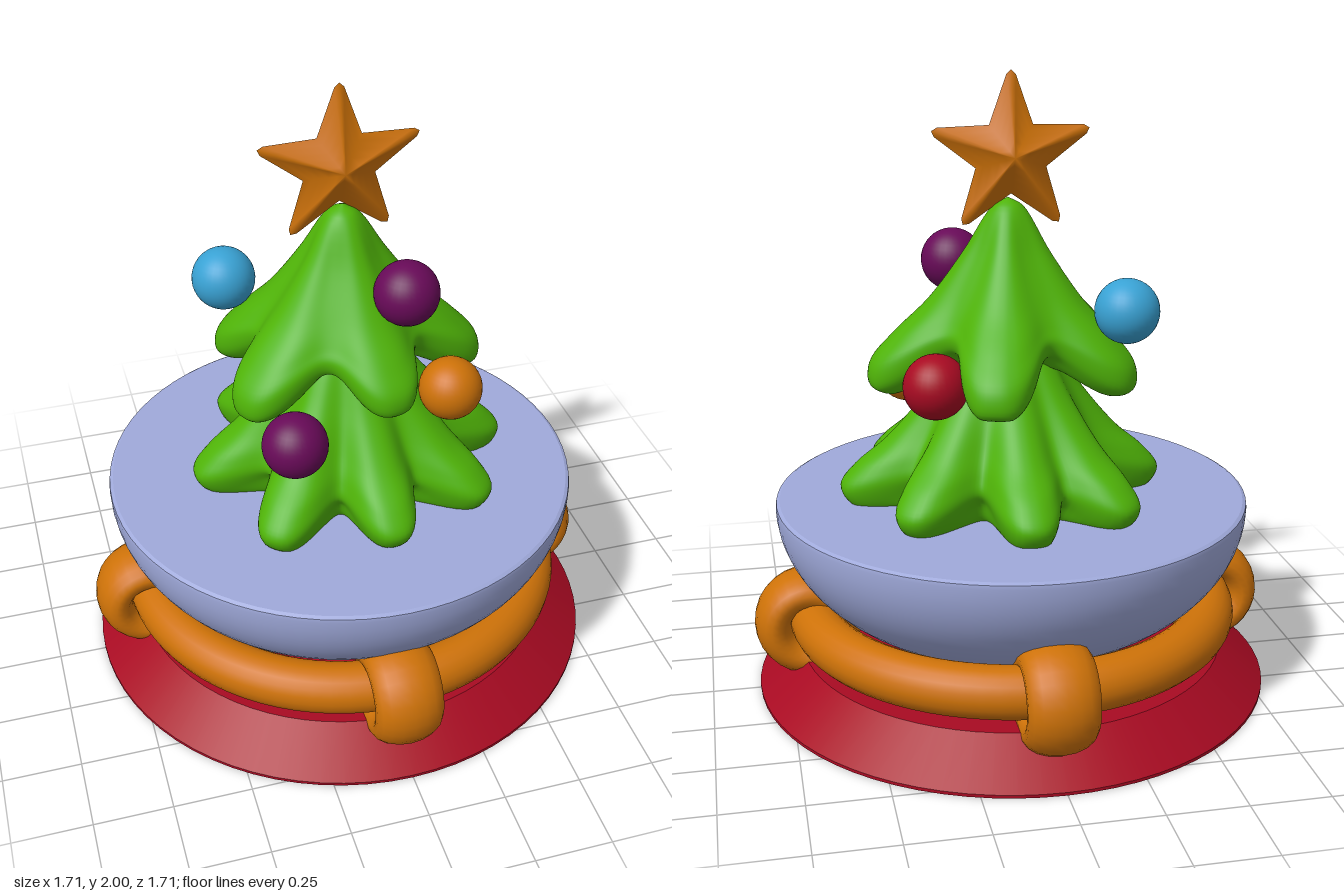
import * as THREE from 'three';

const mat = (name, color) => {
  const m = new THREE.MeshStandardMaterial({ color });
  m.name = name;
  return m;
};

// Closed skirt: a valley profile pushed out to a lobe profile around each lobe angle.
// lobes: [angle in degrees, length factor]; profiles: [radius, height] from apex to underside.
function skirtGeometry(lobeProfile, valleyProfile, lobes, spread, rows = 48, cols = 200) {
  const spline = (pts) => new THREE.CatmullRomCurve3(
    pts.map(([r, y]) => new THREE.Vector3(r, y, 0)), false, 'centripetal');
  const lobe = spline(lobeProfile), valley = spline(valleyProfile);
  const pos = [], idx = [];
  for (let i = 0; i <= rows; i++) {
    const p = lobe.getPoint(i / rows), q = valley.getPoint(i / rows);
    for (let j = 0; j < cols; j++) {
      const a = (j / cols) * Math.PI * 2;
      let w = 0;
      for (const [deg, len] of lobes) {
        const d = a - THREE.MathUtils.degToRad(deg);
        const near = Math.abs(Math.atan2(Math.sin(d), Math.cos(d)));
        w += len * Math.exp(-((near / spread) ** 2.7));
      }
      const r = Math.max(0, q.x + w * (p.x - q.x));
      pos.push(r * Math.cos(a), q.y + Math.min(w, 1) * (p.y - q.y), -r * Math.sin(a));
      if (i < rows) {
        const k = (j + 1) % cols, t = i * cols, b = t + cols;
        idx.push(t + j, b + j, b + k, t + j, b + k, t + k);
      }
    }
  }
  const g = new THREE.BufferGeometry();
  g.setAttribute('position', new THREE.Float32BufferAttribute(pos, 3));
  g.setIndex(idx);
  g.computeVertexNormals();
  return g;
}

// Five-pointed star with blunt tips: two soft halves that meet in a sharp rim.
function starGeometry(outer, inner, depth) {
  const rim = [];
  for (let k = 0; k < 5; k++) {
    const a = Math.PI / 2 + (k * Math.PI * 2) / 5;
    for (const [da, r] of [[-0.06, outer * 0.95], [0, outer], [0.06, outer * 0.95], [Math.PI / 5, inner]])
      rim.push([r * Math.cos(a + da), r * Math.sin(a + da)]);
  }
  const n = rim.length, rings = 5, pos = [], idx = [];
  for (const side of [1, -1]) {
    const start = pos.length / 3;
    pos.push(0, 0, side * depth);
    for (let i = 1; i <= rings; i++) {
      const s = i / rings;
      rim.forEach(([x, y], j) => {
        pos.push(x * s, y * s, side * depth * (1 - s));
        const k = (j + 1) % n, o = start + 1 + (i - 1) * n;
        const tris = i === 1 ? [[start, o + j, o + k]]
          : [[o - n + j, o + j, o + k], [o - n + j, o + k, o - n + k]];
        for (const [a, b, c] of tris) idx.push(...(side > 0 ? [a, b, c] : [a, c, b]));
      });
    }
  }
  const g = new THREE.BufferGeometry();
  g.setAttribute('position', new THREE.Float32BufferAttribute(pos, 3));
  g.setIndex(idx);
  g.computeVertexNormals();
  return g;
}

export function createModel() {
  const group = new THREE.Group();
  const red = mat('red', 0xa80a22), gold = mat('gold', 0xce7208), green = mat('green', 0x4fb308);
  const purple = mat('purple', 0x680a58), blue = mat('blue', 0x39a2d4), snow = mat('pale blue', 0x9fa9da);

  const add = (name, geometry, material, x = 0, y = 0, z = 0) => {
    const m = new THREE.Mesh(geometry, material);
    m.name = name;
    m.position.set(x, y, z);
    group.add(m);
    return m;
  };

  // Base plate
  add('base', new THREE.CylinderGeometry(0.7, 0.845, 0.12, 72), red, 0, 0.07, 0);
  add('baseRim', new THREE.CylinderGeometry(0.845, 0.845, 0.01, 72), red, 0, 0.005, 0);

  // Bowl: rounded underside with a flat top
  const bowl = [];
  for (let i = 0; i <= 20; i++) {
    const a = (i / 20) * Math.PI / 2;
    bowl.push(new THREE.Vector2(0.77 * Math.sin(a), 0.62 - 0.5 * Math.cos(a)));
  }
  bowl.push(new THREE.Vector2(0.768, 0.632));
  add('bowl', new THREE.LatheGeometry(bowl, 72), snow);
  add('bowlRim', new THREE.CylinderGeometry(0.757, 0.768, 0.006, 72), snow, 0, 0.635, 0);

  // Ring around the bowl, held by four thick loops
  const ring = add('ring', new THREE.TorusGeometry(0.66, 0.082, 20, 80), gold, 0, 0.243, 0);
  ring.rotation.x = Math.PI / 2;
  for (let k = 0; k < 4; k++) {
    const a = (k * Math.PI) / 2;
    const loop = add('ringLoop', new THREE.TorusGeometry(0.113, 0.062, 18, 28), gold,
      0.68 * Math.cos(a), 0.234, -0.68 * Math.sin(a));
    loop.scale.z = 1.78;
    loop.rotation.y = a;
  }

  // Tree: two lobed skirts
  add('lowerBranches', skirtGeometry(
    [[0, 1.27], [0.13, 1.17], [0.26, 0.98], [0.38, 0.84], [0.48, 0.755], [0.525, 0.69], [0.49, 0.63], [0.4, 0.62], [0, 0.63]],
    [[0, 1.27], [0.12, 1.17], [0.22, 0.99], [0.27, 0.88], [0.305, 0.8], [0.315, 0.75], [0.29, 0.71], [0.26, 0.63], [0, 0.63]],
    [[0, 1.07], [44, 1], [89, 1.06], [128, 1.02], [180, 0.95], [229, 1.06], [273, 0.92], [316, 1]], 0.265),
  green, 0.02, 0, 0);
  add('upperBranches', skirtGeometry(
    [[0, 1.61], [0.05, 1.58], [0.14, 1.44], [0.25, 1.29], [0.36, 1.18], [0.43, 1.09], [0.43, 1.02], [0.37, 1.0], [0.25, 1.06], [0, 1.1]],
    [[0, 1.61], [0.05, 1.58], [0.12, 1.44], [0.19, 1.32], [0.235, 1.24], [0.255, 1.2], [0.245, 1.16], [0.21, 1.14], [0.15, 1.11], [0, 1.1]],
    [[357, 1.08], [74, 1.04], [147, 0.95], [208, 0.96], [281, 0.7]], 0.38),
  green, 0.01, 0, 0);

  // Ornaments
  const ball = new THREE.SphereGeometry(0.102, 32, 20);
  for (const [m, x, y, z] of [
    [purple, 0.158, 1.38, 0.19], [blue, -0.322, 1.28, -0.22], [purple, -0.238, 1.0, 0.345],
    [gold, 0.31, 1.01, 0.2], [red, 0.278, 1.07, -0.22],
  ]) add('ornament', ball, m, x, y, z);

  // Star on top
  add('star', starGeometry(0.262, 0.118, 0.07), gold, 0, 1.738, 0);
  return group;
}
